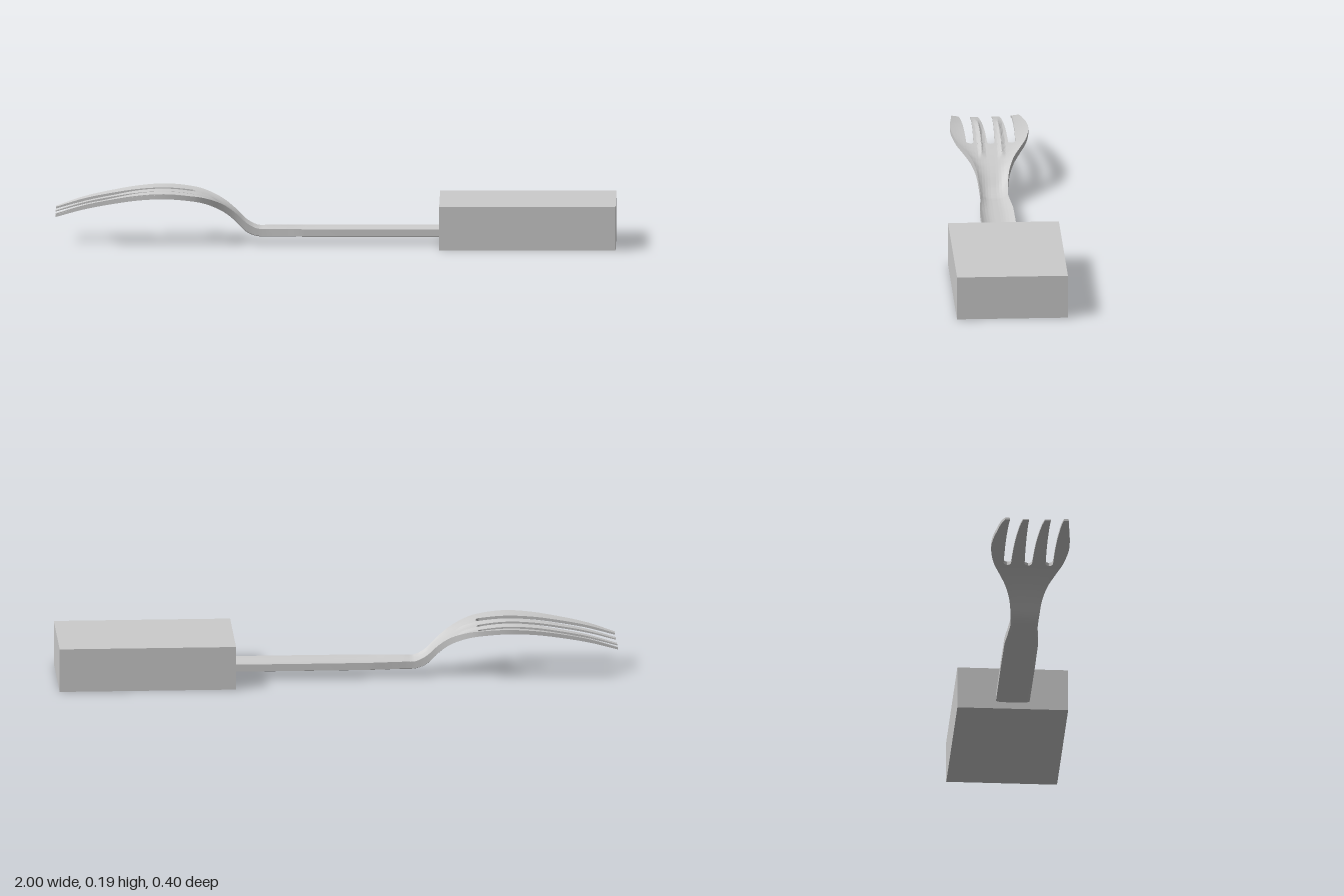
import * as THREE from 'three';
import { toCreasedNormals } from 'three/addons/utils/BufferGeometryUtils.js';

const material = new THREE.MeshStandardMaterial({ color: 0xcccccc });

// Smooth curve through [x, value] points, listed by rising x
function curve(points) {
  const slope = (i) => {
    const a = points[Math.max(i - 1, 0)], b = points[Math.min(i + 1, points.length - 1)];
    return (b[1] - a[1]) / (b[0] - a[0]);
  };
  return (x) => {
    let i = 0;
    while (i < points.length - 2 && x > points[i + 1][0]) i++;
    const [x0, y0] = points[i], [x1, y1] = points[i + 1], h = x1 - x0;
    const t = THREE.MathUtils.clamp((x - x0) / h, 0, 1), s = 1 - t;
    return y0 * s * s * (1 + 2 * t) + y1 * t * t * (1 + 2 * s)
      + h * s * t * (slope(i) * s - slope(i + 1) * t);
  };
}

// Side profile of the metal, and its half width in plan
const rimTop = curve([[-1, 0.113], [-0.9, 0.146], [-0.8, 0.168], [-0.7, 0.184], [-0.6, 0.19], [-0.5, 0.181],
  [-0.45, 0.168], [-0.4, 0.145], [-0.36, 0.115], [-0.32, 0.077], [-0.28, 0.056], [-0.24, 0.055], [0.4, 0.055]]);
const underside = curve([[-1, 0.104], [-0.9, 0.132], [-0.8, 0.152], [-0.7, 0.167], [-0.6, 0.171], [-0.5, 0.159],
  [-0.45, 0.143], [-0.4, 0.116], [-0.36, 0.083], [-0.32, 0.042], [-0.28, 0.026], [-0.24, 0.025], [0.4, 0.025]]);
const halfWidth = curve([[-1, 0.112], [-0.9, 0.121], [-0.8, 0.128], [-0.65, 0.139], [-0.58, 0.137], [-0.5, 0.122],
  [-0.45, 0.1], [-0.4, 0.074], [-0.35, 0.056], [-0.28, 0.049], [-0.2, 0.053], [-0.1, 0.06], [0.4, 0.06]]);

// The upper face is dished between raised rims, with a ridge along each inner tine
function topAt(x, z) {
  const high = rimTop(x), low = underside(x);
  const q = Math.min(Math.abs(z) / halfWidth(x), 1);
  const fade = THREE.MathUtils.smoothstep(-x, 0.41, 0.45) * (1 - THREE.MathUtils.smoothstep(-x, 0.65, 0.9));
  const ridge = 0.007 * fade * Math.exp(-(((Math.abs(z) - 0.036) / 0.006) ** 2));
  return high - 0.55 * (high - low) * (1 - q ** 3) + ridge;
}

// The underside curls up a little towards the outer edge
function bottomAt(x, z) {
  const q = Math.min(Math.abs(z) / halfWidth(x), 1);
  return underside(x) + 0.15 * (rimTop(x) - underside(x)) * q ** 6;
}

// Closed strip of metal running towards -x; span(x) gives its two z edges
function loft(name, stations, span, across) {
  const positions = [], index = [], ring = 2 * (across + 1);
  for (const x of stations) {
    const [za, zb] = span(x);
    for (let k = 0; k < ring; k++) {
      const upper = k <= across;
      const z = THREE.MathUtils.lerp(za, zb, (upper ? k : ring - 1 - k) / across);
      positions.push(x, upper ? topAt(x, z) : bottomAt(x, z), z);
    }
  }
  for (let i = 0; i < stations.length - 1; i++) {
    for (let k = 0; k < ring; k++) {
      const a = i * ring + k, b = i * ring + (k + 1) % ring, c = a + ring, d = b + ring;
      index.push(a, c, b, b, c, d);
    }
  }
  // End caps
  const last = (stations.length - 1) * ring;
  for (let k = 0; k < across; k++) {
    const a = k, b = k + 1, c = ring - 1 - k, d = ring - 2 - k;
    index.push(a, b, c, b, d, c);
    index.push(last + a, last + c, last + b, last + b, last + c, last + d);
  }
  const geometry = new THREE.BufferGeometry();
  geometry.setAttribute('position', new THREE.Float32BufferAttribute(positions, 3));
  geometry.setIndex(index);
  const mesh = new THREE.Mesh(toCreasedNormals(geometry, 0.7), material);
  mesh.name = name;
  return mesh;
}

const steps = (from, to, n) => Array.from({ length: n + 1 }, (_, i) => from + (to - from) * i / n);

export function createModel() {
  const group = new THREE.Group();
  group.name = 'fork';

  // Block grip
  const grip = new THREE.Mesh(new THREE.BoxGeometry(0.63, 0.157, 0.396), material);
  grip.name = 'grip';
  grip.position.set(0.685, 0.0785, 0);
  group.add(grip);

  // Stem and shoulders, up to the root of the slots
  const root = -0.5;
  const bodyStations = [0.38, 0.1, ...steps(-0.1, root, 40)];
  group.add(loft('stem', bodyStations, (x) => [-halfWidth(x), halfWidth(x)], 60));

  // Slots widen towards the tips and have round ends
  const slotHalf = (x, tipHalf) => {
    const rootHalf = 0.013, d = root - x;
    const round = d < rootHalf ? Math.sqrt(Math.max(0, 1 - (1 - d / rootHalf) ** 2)) : 1;
    return round * THREE.MathUtils.lerp(rootHalf, tipHalf, d / 0.5);
  };
  const outerSlot = 0.075;
  const innerTine = (x) => [slotHalf(x, 0.028), outerSlot - slotHalf(x, 0.025)];
  const outerTine = (x) => [outerSlot + slotHalf(x, 0.021), halfWidth(x)];
  const tineStations = [...steps(root, root - 0.014, 7), ...steps(root - 0.03, -1, 28)];

  // Four tines, mirrored about the middle
  for (const side of ['front', 'back']) {
    const mirror = (span) => (x) => {
      const [a, b] = span(x);
      return side === 'front' ? [a, b] : [-b, -a];
    };
    group.add(loft(side + 'InnerTine', tineStations, mirror(innerTine), 16));
    group.add(loft(side + 'OuterTine', tineStations, mirror(outerTine), 16));
  }
  return group;
}
